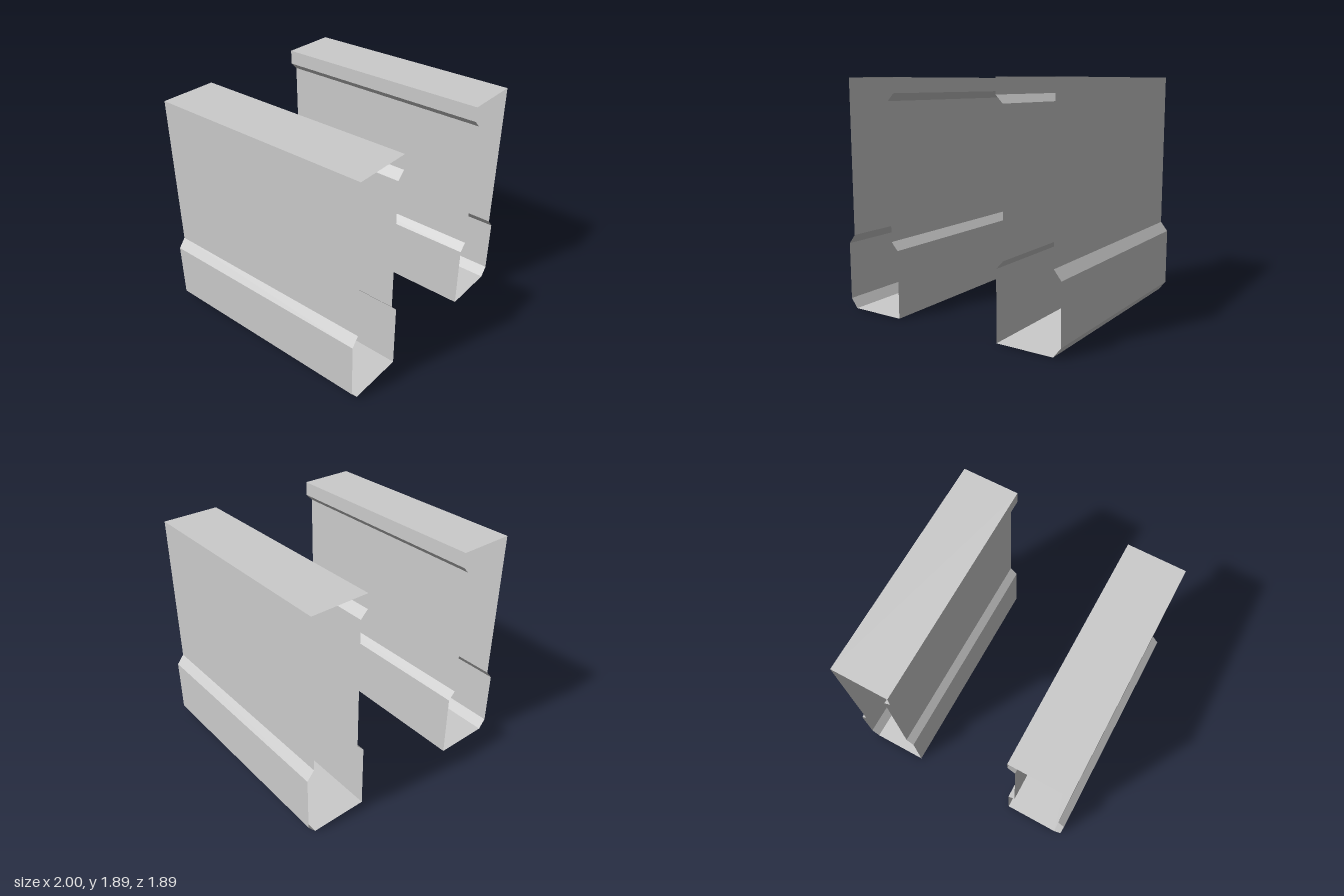
import * as THREE from 'three';

const HALF_LENGTH = 0.945;

// Closed cross-section (x, y) of the left rail, clockwise from the top inner corner
const PROFILE = [
  [0.47, 1.89], [0.94, 1.89],               // flat top
  [0.94, 0.62], [1.0, 0.545],               // outer wall, flaring out
  [1.0, 0.077], [0.94, 0],                  // lower outer wall and bottom chamfer
  [0.47, 0], [0.47, 0.55],                  // flat base, lower inner wall
  [0.53, 0.615], [0.53, 1.71], [0.47, 1.77] // recessed inner wall and top lip
];

// Sweep a closed profile along z into a thin tube with open ends
function openTube(profile) {
  const positions = [];
  profile.forEach(([x0, y0], i) => {
    const [x1, y1] = profile[(i + 1) % profile.length];
    const a = [x0, y0, HALF_LENGTH], b = [x1, y1, HALF_LENGTH];
    const c = [x1, y1, -HALF_LENGTH], d = [x0, y0, -HALF_LENGTH];
    positions.push(...a, ...b, ...c, ...a, ...c, ...d);
  });
  const geometry = new THREE.BufferGeometry();
  geometry.setAttribute('position', new THREE.Float32BufferAttribute(positions, 3));
  geometry.computeVertexNormals();
  return geometry;
}

export function createModel() {
  const model = new THREE.Group();
  model.name = 'railPair';
  const material = new THREE.MeshStandardMaterial({
    color: 0xcccccc, flatShading: true, side: THREE.DoubleSide
  });

  // Two identical hollow rails, the second turned half a circle about y
  const geometry = openTube(PROFILE);
  ['leftRail', 'rightRail'].forEach((name, i) => {
    const rail = new THREE.Mesh(geometry, material);
    rail.name = name;
    rail.rotation.y = i * Math.PI;
    model.add(rail);
  });
  return model;
}
